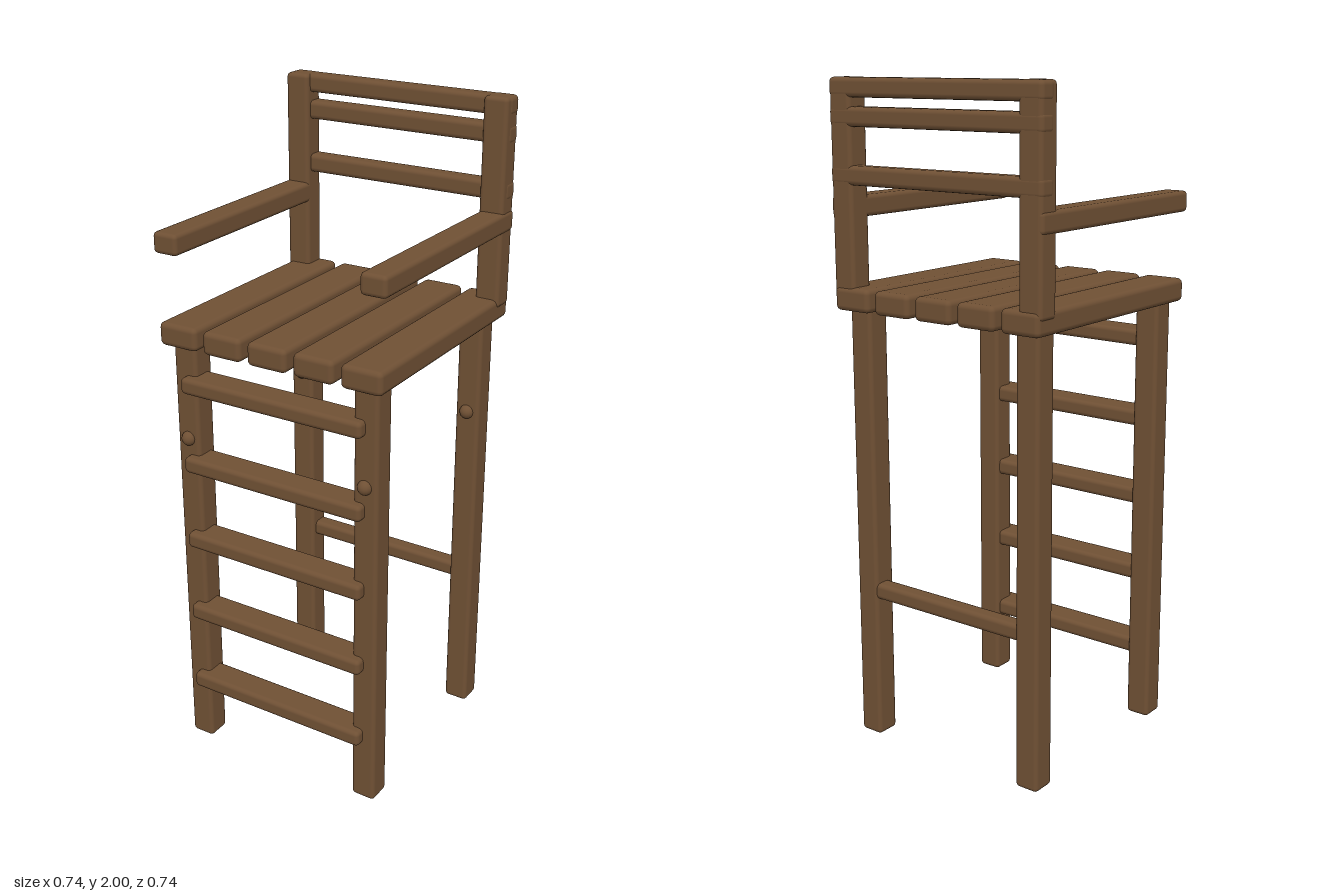
import * as THREE from 'three';
import { RoundedBoxGeometry } from 'three/addons/geometries/RoundedBoxGeometry.js';

export function createModel() {
  const model = new THREE.Group();
  model.name = 'tallChair';
  const wood = new THREE.MeshStandardMaterial({ color: 0x6f5034 });
  wood.name = 'brown wood';

  // Rounded beam given by its low and high limits on each axis
  function beam(name, [x0, x1], [y0, y1], [z0, z1], radius = 0.013) {
    const geometry = new RoundedBoxGeometry(x1 - x0, y1 - y0, z1 - z0, 2, radius);
    const mesh = new THREE.Mesh(geometry, wood);
    mesh.name = name;
    mesh.position.set((x0 + x1) / 2, (y0 + y1) / 2, (z0 + z1) / 2);
    model.add(mesh);
  }
  const around = (c, size) => [c - size / 2, c + size / 2];

  for (const side of [-1, 1]) {
    const label = side > 0 ? 'left' : 'right';

    // Legs with a round bolt head on the front face of each
    for (const [end, z] of [['Front', 0.302], ['Back', -0.298]]) {
      beam(label + end + 'Leg', around(side * 0.3, 0.077), [0.005, 1.36], around(z, 0.077));
      const bolt = new THREE.Mesh(new THREE.SphereGeometry(0.022, 16, 12), wood);
      bolt.name = label + end + 'Bolt';
      bolt.position.set(side * 0.299, 1.055, z + 0.037);
      model.add(bolt);
    }

    // Backrest post and armrest
    beam(label + 'BackPost', around(side * 0.33, 0.076), [1.385, 2], [-0.367, -0.294]);
    beam(label + 'Armrest', around(side * 0.332, 0.08), [1.61, 1.672], [-0.366, 0.367]);
  }

  // Seat planks
  for (let i = -2; i <= 2; i++) {
    beam('seatPlank', around(i * 0.15, 0.128), [1.342, 1.412], [-0.373, 0.371], 0.016);
  }

  // Backrest slats
  for (const y of [1.73, 1.892, 1.972]) {
    beam('backSlat', [-0.37, 0.37], around(y, 0.055), [-0.368, -0.311], 0.014);
  }

  // Ladder rungs on the front legs
  for (let i = 0; i < 5; i++) {
    beam('ladderRung', [-0.3, 0.3], around(0.23 + i * 0.25, 0.05), [0.276, 0.37], 0.014);
  }

  // Brace between the back legs
  beam('backBrace', [-0.3, 0.3], around(0.48, 0.05), [-0.332, -0.278], 0.014);

  return model;
}
